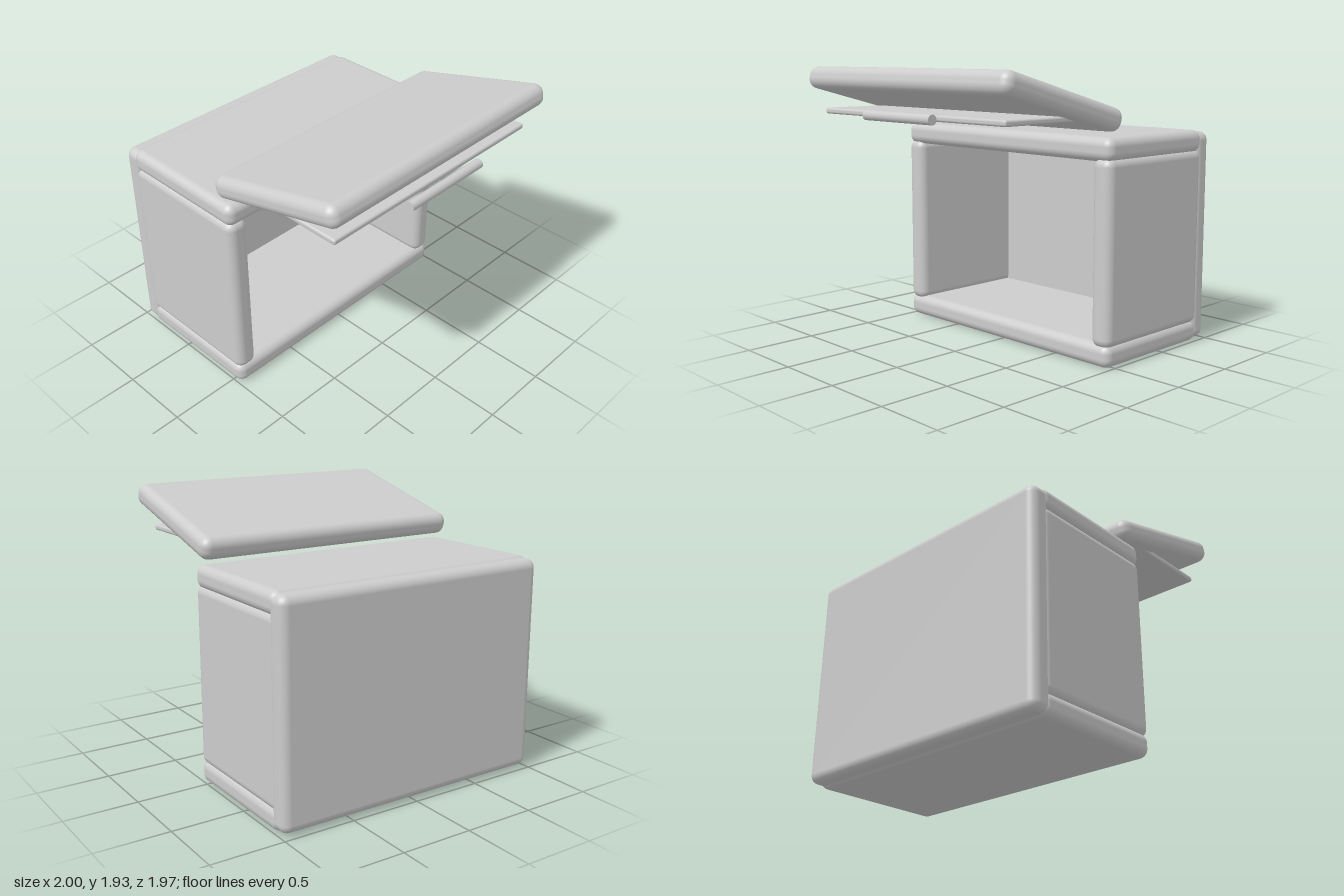
import * as THREE from 'three';
import { RoundedBoxGeometry } from 'three/addons/geometries/RoundedBoxGeometry.js';

export function createModel() {
  const model = new THREE.Group();
  model.name = 'openCabinet';
  const grey = new THREE.MeshStandardMaterial({ color: 0xcccccc });
  grey.name = 'lightGrey';

  function add(name, geometry, x, y, z) {
    const mesh = new THREE.Mesh(geometry, grey);
    mesh.name = name;
    mesh.position.set(x, y, z);
    model.add(mesh);
    return mesh;
  }

  // Soft-edged slab given by its limits on each axis
  function slab(name, [x0, x1], [y0, y1], [z0, z1], radius = 0.06) {
    const geometry = new RoundedBoxGeometry(x1 - x0, y1 - y0, z1 - z0, 5, radius);
    return add(name, geometry, (x0 + x1) / 2, (y0 + y1) / 2, (z0 + z1) / 2);
  }

  // Cabinet shell, open at the front
  const depth = [-0.905, 0.085];
  slab('bottomPanel', [-1, 1], [0, 0.157], depth);
  slab('topPanel', [-1, 1], [1.338, 1.495], depth);
  slab('leftPanel', [0.843, 1], [0.13, 1.365], depth);
  slab('rightPanel', [-1, -0.843], [0.13, 1.365], depth);
  slab('backPanel', [-1, 1], [0.015, 1.482], [-0.986, -0.83]);

  // Raised, tilted lid
  const lid = add('lid', new RoundedBoxGeometry(2, 0.155, 1.068, 5, 0.066), 0, 1.727, 0.457);
  lid.rotation.x = -THREE.MathUtils.degToRad(15);

  // Thin shelf running out from under the lid
  slab('shelf', [-0.9, 0.9], [1.6, 1.64], [0.1, 0.89], 0.015);

  // Handle bar in front of the shelf
  const handle = add('handle', new THREE.CylinderGeometry(0.033, 0.033, 0.665, 32), 0, 1.617, 0.954);
  handle.rotation.z = Math.PI / 2;

  return model;
}
